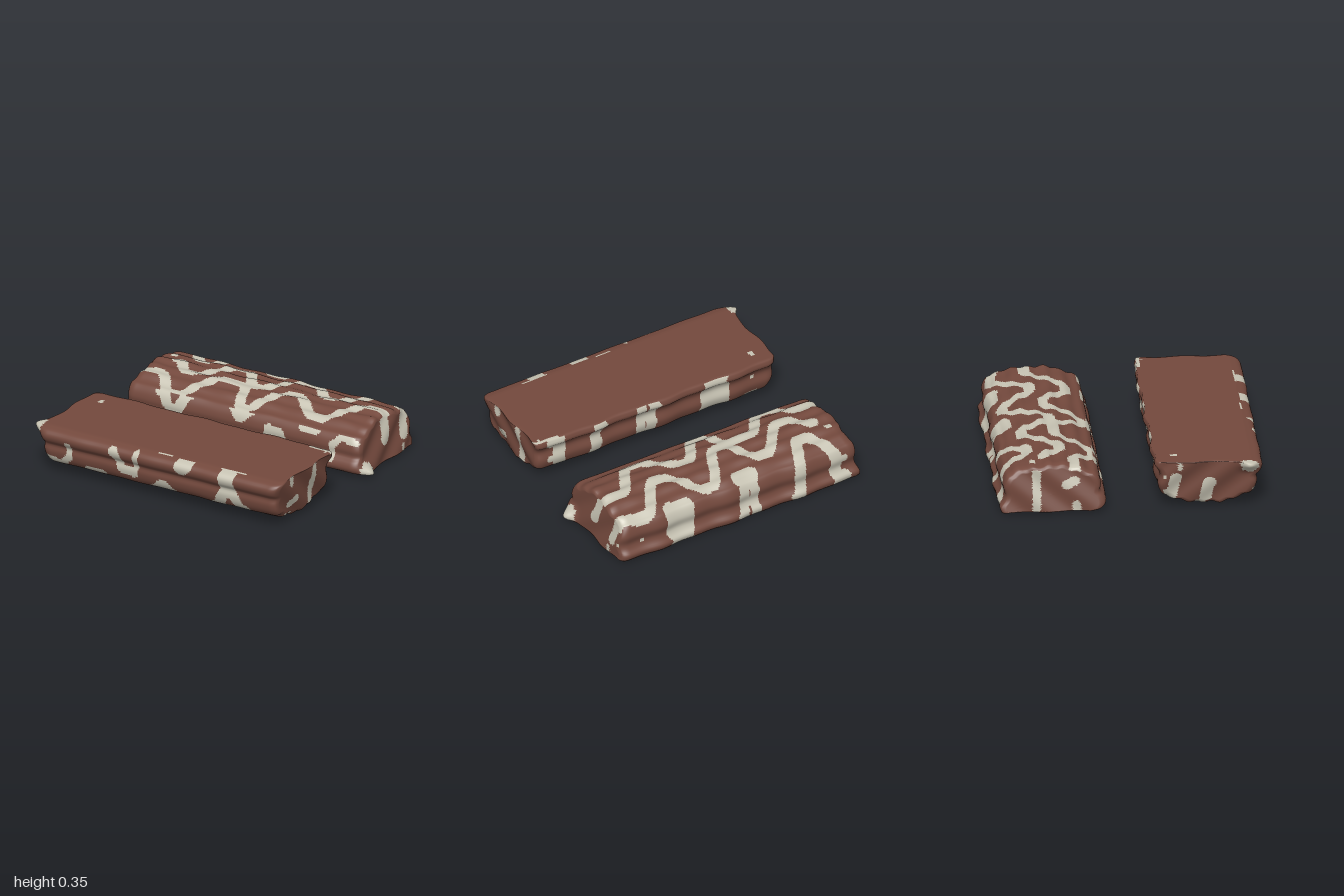
import * as THREE from 'three';

const CZ = -0.525; // centre line of the upright bar
const TOP = 92, BOTTOM = 26, ALONG = 250, CAP = 24;
const { smoothstep, clamp, lerp } = THREE.MathUtils;

// Icing trails in plan: half width, then the [x, z] turning points of the wave
const PLAN = [
  [0.04, [-0.84, -0.89], [-0.6, -0.67], [-0.42, -0.92]],
  [0.035, [-0.165, -0.92], [-0.085, -0.8], [0, -0.92]],
  [0.055, [-0.13, -0.79], [-0.04, -0.79]],
  [0.055, [0.4, -0.835], [0.52, -0.835]],
  [0.05, [0.46, -0.83], [0.47, -0.92]],
  [0.037, [-0.76, -0.57], [-0.59, -0.45], [-0.29, -0.685], [-0.06, -0.48], [0.18, -0.775], [0.47, -0.57], [0.72, -0.81], [0.95, -0.78]],
  [0.037, [-0.95, -0.37], [-0.78, -0.37], [-0.58, -0.22], [-0.3, -0.465], [-0.17, -0.465], [-0.04, -0.25], [0.21, -0.495], [0.52, -0.32], [0.78, -0.58], [0.95, -0.58]],
  [0.024, [-0.83, -0.65], [-0.825, -0.65]],
];
// Icing on the front wall as [x, y]
const FRONT = [
  [0.024, [0.71, 0.1], [0.71, 0.2], [0.78, 0.25], [0.9, 0.24]],
  [0.035, [0.35, 0.06], [0.28, 0.18], [0.2, 0.19]],
  [0.022, [0.165, 0.04], [0.18, 0.14]],
  [0.055, [-0.22, 0.03], [-0.19, 0.05]],
  [0.06, [-0.55, 0.02], [-0.55, 0.15]],
  [0.04, [-0.43, 0.29], [-0.55, 0.15], [-0.67, 0.27]],
  [0.035, [0.46, 0.265], [0.57, 0.265]],
  [0.035, [-0.1, 0.28], [-0.03, 0.225], [0.05, 0.28]],
];
// Icing on the end walls as [z, y]
const RIGHT = [
  [0.042, [-0.51, 0.17], [-0.56, 0.33]],
  [0.04, [-0.74, 0.13], [-0.77, 0.24]],
  [0.015, [-0.715, 0.02], [-0.715, 0.06]],
  [0.02, [-0.19, 0.03], [-0.24, 0.08], [-0.29, 0.03]],
];
const LEFT = [
  [0.03, [-0.63, 0.04], [-0.63, 0.33]],
  [0.032, [-0.37, 0.22], [-0.43, 0.2]],
  [0.03, [-0.36, 0.03], [-0.36, 0.06]],
];
// Icing specks on the underside as [x, z]
const UNDER = [
  [0.03, [-0.79, -0.885], [-0.95, -0.86]],
  [0.016, [0.81, -0.755], [0.81, -0.735]],
];

// Ease from one turning point to the next, with broad bends
const trace = (trails) => trails.map(([r, ...turns]) => {
  const pts = [];
  for (let n = 0; n + 1 < turns.length; n++) {
    const [p, q] = [turns[n], turns[n + 1]];
    for (let k = 0; k <= 24; k++) {
      const t = k / 24;
      pts.push([lerp(p[0], q[0], t), lerp(p[1], q[1], smoothstep(t, 0.1, 0.9))]);
    }
  }
  return [r, pts];
});

function isIced(trails, a, b) {
  return trails.some(([r, pts]) => pts.some((p) => (p[0] - a) ** 2 + (p[1] - b) ** 2 < r * r));
}

// Cross-section loop: front wall, ribbed dome, back wall, flat underside
function sectionLoop() {
  const front = [[-0.235, 0.012], [-0.175, 0.03], [-0.155, 0.06], [-0.165, 0.1], [-0.195, 0.135], [-0.19, 0.18], [-0.205, 0.235]];
  const back = [[-0.862, 0.19], [-0.848, 0.12], [-0.86, 0.085], [-0.885, 0.05], [-0.875, 0.012]];
  const dome = [];
  for (let n = 0; n <= 24; n++) {
    const z = lerp(-0.235, -0.835, n / 24);
    const u = Math.abs(z + 0.535) / 0.3;
    dome.push([z, 0.336 - 0.07 * u ** 2.2 + 0.007 * Math.cos((z + 0.55) * 57)]);
  }
  const pts = [...front, ...dome, ...back].map(([z, y]) => new THREE.Vector3(0, y, z));
  const loop = new THREE.CatmullRomCurve3(pts).getSpacedPoints(TOP);
  for (let k = 1; k < BOTTOM; k++) {
    loop.push(new THREE.Vector3().lerpVectors(loop[TOP], loop[0], k / BOTTOM));
  }
  return loop;
}

// Wavy, hand-poured displacement of a point on the bar
function pour(s, y, z) {
  const side = (z - CZ) / 0.37;
  const end = s > 0 ? 0.945 : 0.96;
  let x = s * (end - 0.14 * y) + s ** 5 * 0.009 * Math.sin(19 * z + 24 * y + s);
  const crest = Math.max(0, y - 0.2) * 8;
  const ny = y + crest * (0.003 * Math.sin(9 * x + 30 * z) + 0.003 * Math.sin(21 * x - 17 * z));
  const sway = side < 0 ? 0.007 : 0.002;
  const nz = z + side * sway * (Math.sin(11 * x + 1) + 0.6 * Math.sin(23 * x));
  // Drip pulled out of the front right corner
  const d2 = (z + 0.24) ** 2 / 0.003 + (y - 0.035) ** 2 / 0.002;
  if (s > 0.9) x += 0.068 * Math.exp(-d2) * (s - 0.9) * 10;
  return [x, ny, nz];
}

function barGeometry() {
  const loop = sectionLoop(), J = loop.length;
  const pos = [], plain = [], iced = [];
  const rows = ALONG + 2 * CAP;
  for (let i = 0; i <= rows; i++) {
    const s = 2 * clamp((i - CAP) / ALONG, 0, 1) - 1;
    // End rings shrink to the centre of each end wall
    const k = Math.min(1, i / CAP, (rows - i) / CAP);
    // Rounded corners towards both ends
    const e = Math.max(0, (Math.abs(s) - 0.93) / 0.07);
    const round = 1 - Math.sqrt(1 - Math.min(1, e) ** 2);
    const w = (1 - 0.12 * round) * k;
    for (const p of loop) {
      const h = (1 - (p.y > 0.13 ? 0.13 : 0.02) * round) * k;
      pos.push(...pour(s, 0.13 + (p.y - 0.13) * h, CZ + (p.z - CZ) * w));
    }
  }
  // Sort the faces into chocolate and icing
  const [plan, front, right, left, under] = [PLAN, FRONT, RIGHT, LEFT, UNDER].map(trace);
  for (let i = 0; i < rows; i++) {
    for (let j = 0; j < J; j++) {
      const a = i * J + j, d = i * J + (j + 1) % J, b = a + J, c = d + J;
      const [x, y, z] = [0, 1, 2].map((n) => (pos[a * 3 + n] + pos[c * 3 + n]) / 2);
      let cream;
      if (i < CAP) cream = isIced(left, z, y);
      else if (i >= CAP + ALONG) cream = isIced(right, z, y);
      else if (j >= TOP) cream = isIced(under, x, z);
      else if (z > -0.225) cream = isIced(front, x, y);
      else cream = isIced(plan, x, z);
      if (x > 0.94 && z > -0.3 && y < 0.09) cream = true;
      (cream ? iced : plain).push(a, b, c, a, c, d);
    }
  }
  const geo = new THREE.BufferGeometry();
  geo.setAttribute('position', new THREE.Float32BufferAttribute(pos, 3));
  geo.setIndex([...plain, ...iced]);
  geo.addGroup(0, plain.length, 0);
  geo.addGroup(plain.length, iced.length, 1);
  geo.computeVertexNormals();
  return geo;
}

export function createModel() {
  const chocolate = new THREE.MeshStandardMaterial({ color: 0x74493d });
  chocolate.name = 'chocolate';
  const icing = new THREE.MeshStandardMaterial({ color: 0xc8c4b4 });
  icing.name = 'icing';

  const group = new THREE.Group();
  group.name = 'chocolateBars';
  const geo = barGeometry();

  const upright = new THREE.Mesh(geo, [chocolate, icing]);
  upright.name = 'uprightBar';
  group.add(upright);

  // The same bar lying on its rounded top
  const flipped = new THREE.Mesh(geo, [chocolate, icing]);
  flipped.name = 'flippedBar';
  flipped.rotation.z = Math.PI;
  flipped.position.set(0, 0.35, 1.05);
  group.add(flipped);
  return group;
}
